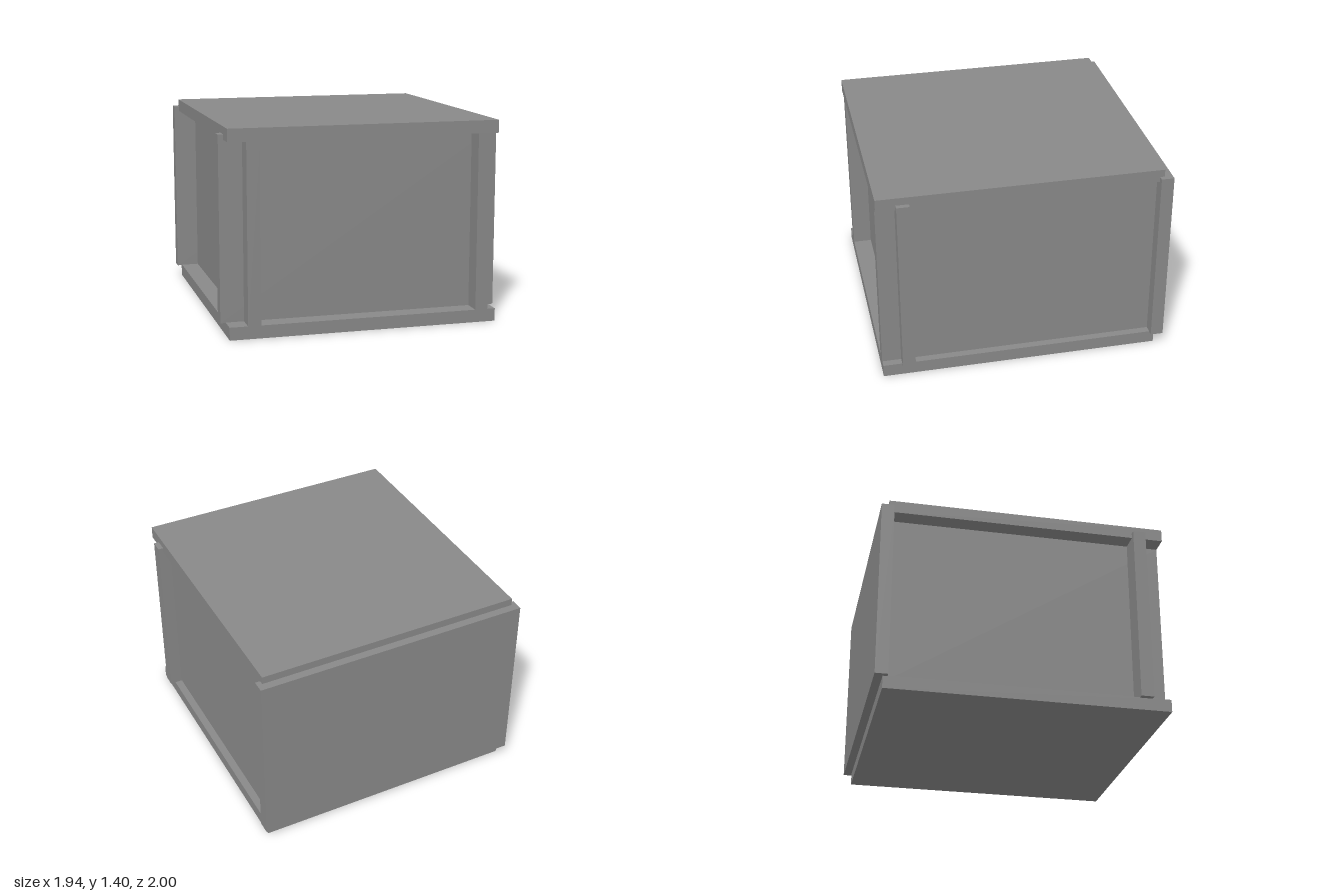
import * as THREE from 'three';

export function createModel() {
  const group = new THREE.Group();
  const material = new THREE.MeshStandardMaterial({ color: 0x888888 });

  // Board spanning the given limits on each axis
  function board(name, [x0, x1], [y0, y1], [z0, z1]) {
    const mesh = new THREE.Mesh(new THREE.BoxGeometry(x1 - x0, y1 - y0, z1 - z0), material);
    mesh.position.set((x0 + x1) / 2, (y0 + y1) / 2, (z0 + z1) / 2);
    mesh.name = name;
    group.add(mesh);
  }

  const width = [-0.934, 0.934];
  const depth = [-0.944, 1];
  const wallHeight = [0.088, 1.312];
  const crossWidth = [-0.97, 0.97];
  const crossHeight = [0.085, 1.348];

  // Horizontal boards
  board('bottomPanel', width, [0, 0.088], depth);
  board('topPanel', width, [1.312, 1.4], depth);

  // Inset side walls, the right one set further in
  board('leftWall', [0.79, 0.88], wallHeight, depth);
  board('rightWall', [-0.81, -0.72], wallHeight, depth);

  // Cross panels running through the walls: one closes the back,
  // the other is recessed behind the front opening
  board('backPanel', crossWidth, crossHeight, [-1, -0.912]);
  board('frontPanel', crossWidth, crossHeight, [0.779, 0.868]);

  return group;
}
